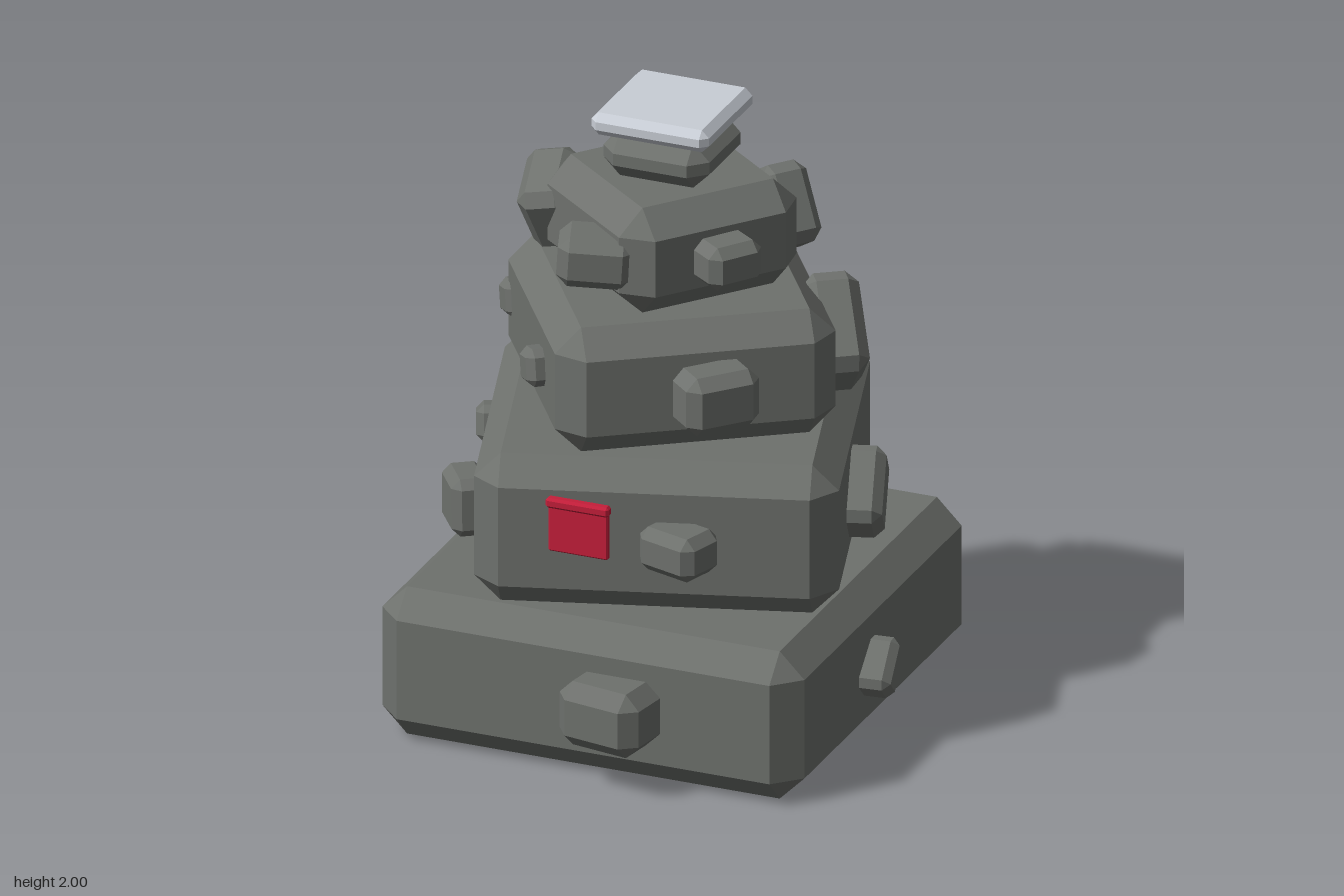
import * as THREE from 'three';
import { ConvexGeometry } from 'three/addons/geometries/ConvexGeometry.js';

// Box with all edges chamfered by c
function chamferBox(w, h, d, c) {
  const x = w / 2, y = h / 2, z = d / 2, pts = [];
  for (const i of [-1, 1]) for (const j of [-1, 1]) for (const k of [-1, 1]) {
    pts.push(
      new THREE.Vector3(i * x, j * (y - c), k * (z - c)),
      new THREE.Vector3(i * (x - c), j * y, k * (z - c)),
      new THREE.Vector3(i * (x - c), j * (y - c), k * z));
  }
  return new ConvexGeometry(pts);
}

function material(name, color) {
  const m = new THREE.MeshStandardMaterial({ color });
  m.name = name;
  return m;
}

function part(parent, name, geometry, mat, x, y, z) {
  const mesh = new THREE.Mesh(geometry, mat);
  mesh.name = name;
  mesh.position.set(x, y, z);
  parent.add(mesh);
  return mesh;
}

// Faces of a tier in quarter turns
const FRONT = 0, RIGHT = 1, BACK = 2, LEFT = 3;

export function createModel() {
  const stone = material('stone', 0x6e716d);
  const snow = material('snow', 0xc9ced6);
  const red = material('red', 0xc41e3a);

  const model = new THREE.Group();
  model.name = 'rockTower';
  const tower = new THREE.Group();
  tower.name = 'tower';
  tower.position.set(-0.032, 0, -0.03);
  model.add(tower);

  // Tier block in its own turned group, whose origin is the block's centre
  function addTier(name, half, bottom, top, chamfer, yaw) {
    const tier = new THREE.Group();
    tier.name = name;
    tier.position.y = (bottom + top) / 2;
    tier.rotation.y = yaw;
    tier.userData.half = half;
    tower.add(tier);
    part(tier, name + 'Block', chamferBox(2 * half, top - bottom, 2 * half, chamfer), stone, 0, 0, 0);
    return tier;
  }

  // Boulder half sunk in a tier face: u runs along the face, out is away from it
  function addBoulder(tier, face, u, out, w, h, d, spin = 0, roll = 0, lean = 0) {
    const side = new THREE.Group();
    side.name = 'boulderMount';
    side.rotation.y = face * Math.PI / 2;
    tier.add(side);
    const c = Math.min(w, h, d) * 0.22;
    const rock = part(side, 'boulder', chamferBox(w, h, d, c), stone, u, 0, tier.userData.half + out);
    rock.rotation.set(lean, spin, roll, 'YXZ');
  }

  function addPebble(tier, face, u, out) {
    addBoulder(tier, face, u, out, 0.11, 0.12, 0.12, 0.1, 0.2);
  }

  // Bottom tier
  const tier1 = addTier('bottomTier', 0.708, 0, 0.5, 0.083, 0);
  addBoulder(tier1, FRONT, 0.11, 0.01, 0.29, 0.215, 0.27, -0.17);
  addBoulder(tier1, RIGHT, -0.105, 0.014, 0.11, 0.18, 0.15, 0.1, -0.8);
  addBoulder(tier1, BACK, -0.3, -0.015, 0.19, 0.31, 0.22, -0.3, 0.6);
  addPebble(tier1, LEFT, 0.34, -0.025);

  // Second tier
  const tier2 = addTier('secondTier', 0.567, 0.5, 1, 0.083, 0.3);
  addBoulder(tier2, FRONT, 0.08, 0.033, 0.22, 0.145, 0.17, -0.6);
  addBoulder(tier2, RIGHT, -0.114, 0.038, 0.18, 0.26, 0.14, 0, -0.8);
  addBoulder(tier2, LEFT, 0.292, 0.04, 0.2, 0.19, 0.13, 0.3, 0.05);
  addBoulder(tier2, BACK, -0.24, -0.02, 0.13, 0.24, 0.16, 0, 0.55);
  addPebble(tier2, BACK, 0.46, -0.035);
  addPebble(tier2, LEFT, -0.294, 0.01);

  // Third tier
  const tier3 = addTier('thirdTier', 0.443, 1, 1.42, 0.083, 0.6);
  addBoulder(tier3, FRONT, 0.037, 0.055, 0.25, 0.195, 0.17, 0.25);
  addBoulder(tier3, RIGHT, -0.09, 0.043, 0.25, 0.33, 0.18, 0, -0.75);
  addBoulder(tier3, BACK, -0.173, -0.015, 0.14, 0.27, 0.16, 0, 0.6);
  addPebble(tier3, LEFT, 0.156, 0);
  addPebble(tier3, LEFT, -0.36, -0.04);

  // Fourth tier
  const tier4 = addTier('fourthTier', 0.313, 1.42, 1.775, 0.083, 0.9);
  addBoulder(tier4, FRONT, 0, 0.045, 0.19, 0.145, 0.15, 0.05);
  addBoulder(tier4, RIGHT, -0.084, 0.035, 0.18, 0.26, 0.16, 0, -0.55);
  addBoulder(tier4, BACK, 0.237, 0, 0.25, 0.25, 0.17, 0.77, -0.45, 0.2);
  addBoulder(tier4, LEFT, 0.13, 0.024, 0.24, 0.165, 0.2, 1.02, -0.06);
  addPebble(tier4, BACK, -0.197, -0.03);

  // Summit block and snow cap
  addTier('summit', 0.178, 1.775, 1.925, 0.055, 0);
  part(tower, 'snowCap', chamferBox(0.394, 0.075, 0.394, 0.024), snow, 0, 1.9625, 0);

  // Red hanging banner with its rail
  const banner = new THREE.Group();
  banner.name = 'banner';
  model.add(banner);
  part(banner, 'bannerCloth', chamferBox(0.2, 0.17, 0.022, 0.005), red, -0.033, 0.85, 0.707);
  part(banner, 'bannerRail', chamferBox(0.212, 0.034, 0.034, 0.008), red, -0.033, 0.93, 0.712);

  return model;
}
